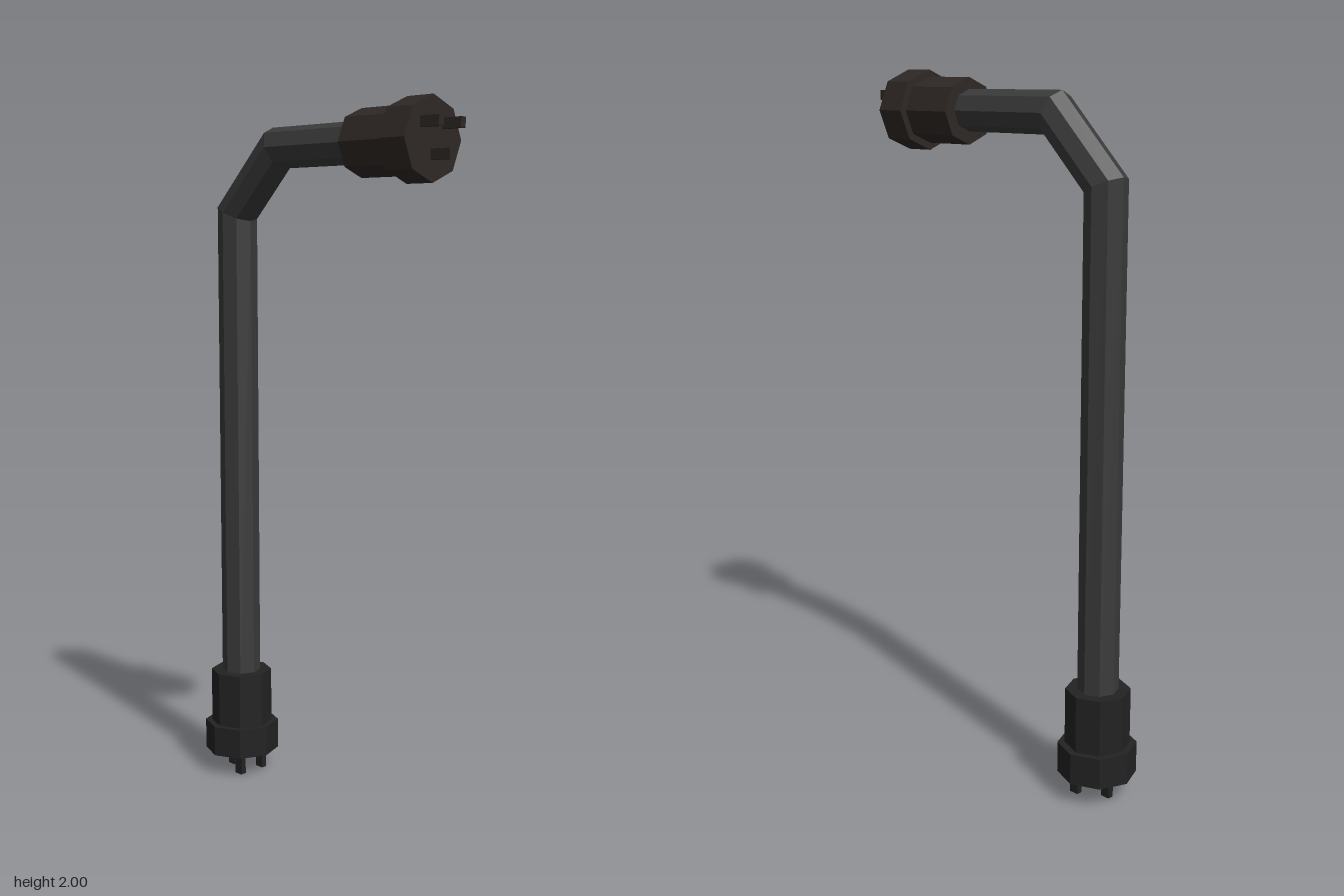
import * as THREE from 'three';

const SIDES = 8;
const material = (color) => new THREE.MeshStandardMaterial({ color, flatShading: true });

// Octagonal tube swept along a path in the xy plane with mitred bends.
// Each station: x, y, heading of the section in degrees, mitre stretch.
function pipeGeometry(stations, radius) {
  const positions = [];
  const index = [];
  for (const [x, y, heading, stretch] of stations) {
    const h = THREE.MathUtils.degToRad(heading);
    for (let j = 0; j < SIDES; j++) {
      const a = (j / SIDES) * Math.PI * 2;
      const u = Math.cos(a) * radius * stretch;
      positions.push(x - Math.sin(h) * u, y + Math.cos(h) * u, Math.sin(a) * radius);
    }
  }
  for (let i = 0; i < stations.length - 1; i++) {
    for (let j = 0; j < SIDES; j++) {
      const a = i * SIDES + j;
      const b = i * SIDES + ((j + 1) % SIDES);
      index.push(a, b, b + SIDES, a, b + SIDES, a + SIDES);
    }
  }
  const geometry = new THREE.BufferGeometry();
  geometry.setAttribute('position', new THREE.Float32BufferAttribute(positions, 3));
  geometry.setIndex(index);
  geometry.computeVertexNormals();
  return geometry;
}

// Connector pointing down -y, with its pin tips at the local origin
function connector(name, mat) {
  const group = new THREE.Group();
  group.name = name;
  const add = (part, geometry, x, y, z) => {
    const mesh = new THREE.Mesh(geometry, mat);
    mesh.name = part;
    mesh.position.set(x, y, z);
    group.add(mesh);
  };
  add('connectorFlange', new THREE.CylinderGeometry(0.112, 0.112, 0.09, SIDES), 0, 0.109, 0);
  add('connectorBody', new THREE.CylinderGeometry(0.092, 0.092, 0.164, SIDES), 0, 0.235, 0);
  // Two pins on one side, one on the other
  for (const [x, z] of [[0.04, 0.043], [0.04, -0.043], [-0.04, 0]]) {
    add('pin', new THREE.BoxGeometry(0.028, 0.08, 0.018), x, 0.04, z);
  }
  return group;
}

export function createModel() {
  const model = new THREE.Group();
  model.name = 'bentPipe';

  // Upright pipe, diagonal elbow and horizontal arm
  const mitre = 1 / Math.cos(Math.PI / 8);
  const pipe = new THREE.Mesh(pipeGeometry([
    [-0.355, 0.3, 90, 1],
    [-0.355, 1.71, 67.5, mitre],
    [-0.175, 1.89, 22.5, mitre],
    [0.17, 1.89, 0, 1],
  ], 0.058), material(0x3a3a3a));
  pipe.name = 'pipe';
  model.add(pipe);

  // Matching connectors on both ends
  const lower = connector('lowerConnector', material(0x222222));
  lower.position.set(-0.355, 0, 0);
  const upper = connector('upperConnector', material(0x2e2825));
  upper.position.set(0.468, 1.888, 0);
  upper.rotation.z = Math.PI / 2;
  model.add(lower, upper);

  return model;
}
